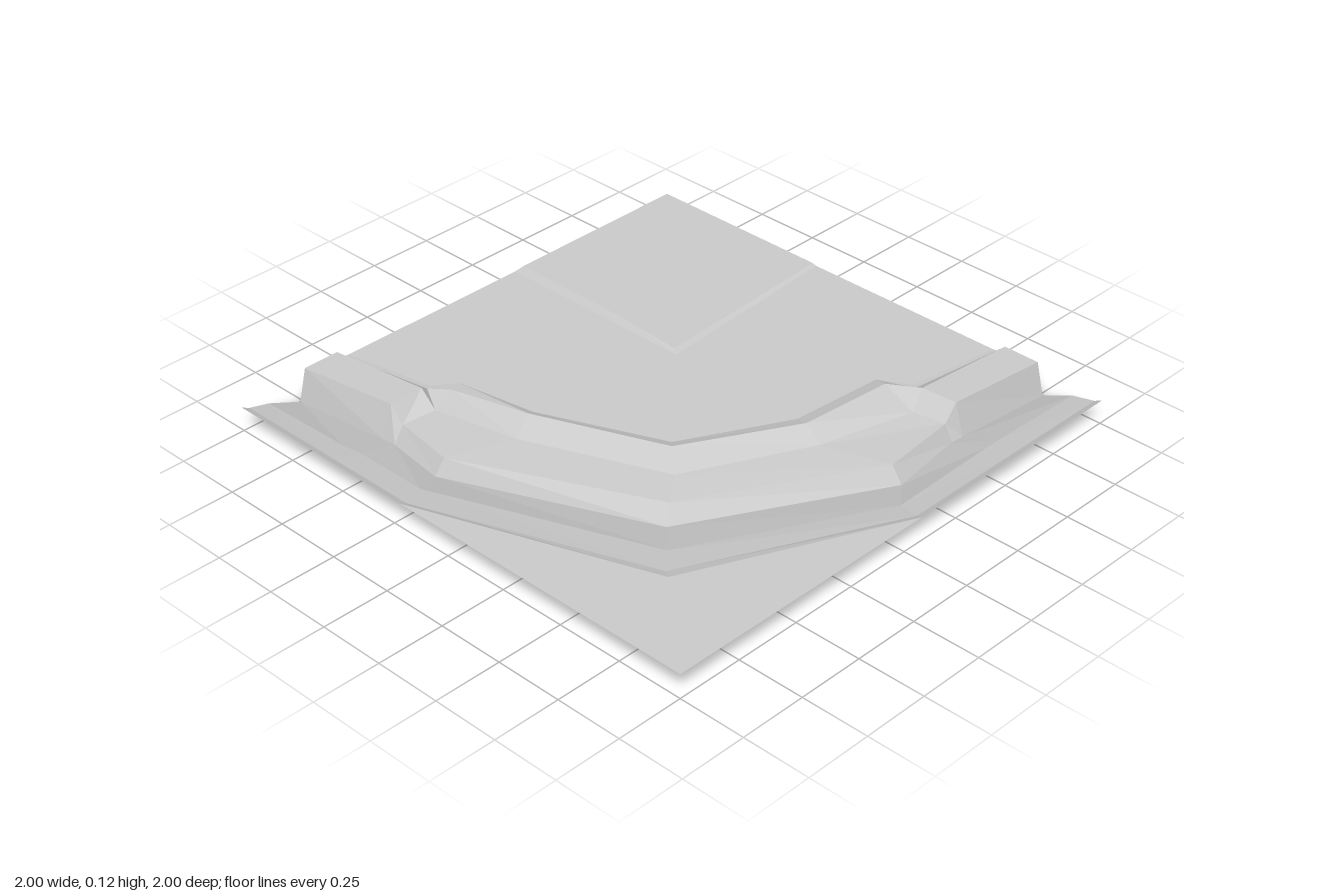
import * as THREE from 'three';

// Every line follows the bend through nine stations, left edge to back edge.
const STATIONS = 9;
const level = (y, pts) => pts.map(([x, z]) => new THREE.Vector3(x, y, z));
const line = (pts) => pts.map((p) => new THREE.Vector3(...p));
const point = (x, y, z) => Array.from({ length: STATIONS }, () => new THREE.Vector3(x, y, z));

// Flat-shaded surface lofted between neighbouring lines, outer to inner
function loft(name, lines) {
  const pos = [];
  const tri = (a, b, c) => {
    const area = b.clone().sub(a).cross(c.clone().sub(a)).length();
    if (area > 1e-6) for (const v of [a, b, c]) pos.push(v.x, v.y, v.z);
  };
  for (let r = 0; r < lines.length - 1; r++) {
    const [p, q] = [lines[r], lines[r + 1]];
    for (let s = 0; s < STATIONS - 1; s++) {
      tri(p[s], p[s + 1], q[s]);
      tri(p[s + 1], q[s + 1], q[s]);
    }
  }
  const geo = new THREE.BufferGeometry();
  geo.setAttribute('position', new THREE.Float32BufferAttribute(pos, 3));
  geo.computeVertexNormals();
  const mat = new THREE.MeshStandardMaterial({ color: 0xcccccc, flatShading: true, side: THREE.DoubleSide });
  const mesh = new THREE.Mesh(geo, mat);
  mesh.name = name;
  return mesh;
}

export function createModel() {
  const group = new THREE.Group();
  group.name = 'terrainTile';

  // Outer bank, from the flat corner down to the foot of the wall
  const rim = level(0.09, [[-1, 1], [-0.63, 1], [-0.56, 1], [-0.22, 1], [0.65, 0.69],
    [1, -0.08], [1, -0.57], [1, -0.62], [1, -1]]);
  const bankUpper = level(0.075, [[-1, 0.97], [-0.63, 0.97], [-0.56, 0.97], [-0.22, 0.97], [0.61, 0.66],
    [0.97, -0.09], [0.97, -0.57], [0.97, -0.62], [0.97, -1]]);
  const bankLower = level(0.055, [[-1, 0.89], [-0.63, 0.88], [-0.56, 0.87], [-0.27, 0.87], [0.52, 0.56],
    [0.88, -0.12], [0.87, -0.57], [0.87, -0.62], [0.88, -1]]);
  const foot = level(0, [[-1, 0.76], [-0.63, 0.715], [-0.58, 0.71], [-0.35, 0.74], [0.38, 0.42],
    [0.76, -0.27], [0.72, -0.57], [0.725, -0.62], [0.76, -1]]);

  // Wall with raised blocks at both ends and a low shelf around the bend
  const wallTop = line([[-1, 0.12, 0.73], [-0.63, 0.12, 0.675], [-0.58, 0.06, 0.67], [-0.34, 0.06, 0.705],
    [0.35, 0.06, 0.38], [0.72, 0.06, -0.27], [0.69, 0.06, -0.57], [0.69, 0.12, -0.62], [0.73, 0.12, -1]]);
  const shelfBack = line([[-1, 0.12, 0.59], [-0.63, 0.12, 0.54], [-0.555, 0.072, 0.55], [-0.24, 0.072, 0.48],
    [0.27, 0.072, 0.27], [0.49, 0.072, -0.18], [0.58, 0.072, -0.535], [0.555, 0.12, -0.61], [0.59, 0.12, -1]]);
  const crest = line([[-1, 0.09, 0.56], [-0.65, 0.09, 0.5], [-0.585, 0.092, 0.45], [-0.28, 0.11, 0.39],
    [0.19, 0.11, 0.2], [0.41, 0.11, -0.2], [0.44, 0.11, -0.555], [0.51, 0.09, -0.63], [0.565, 0.09, -1]]);
  const innerFoot = level(0.088, [[-1, 0.54], [-0.66, 0.48], [-0.6, 0.4], [-0.3, 0.35], [0.15, 0.16],
    [0.35, -0.22], [0.38, -0.58], [0.49, -0.64], [0.54, -1]]);

  // Inner ground with a shallow step around the back left quarter
  const stepLow = level(0.085, [[-1, -0.23], [-0.8, -0.23], [-0.65, -0.23], [-0.45, -0.23], [-0.21, -0.23],
    [-0.22, -0.4], [-0.235, -0.6], [-0.24, -0.7], [-0.262, -1]]);
  const stepHigh = level(0.09, [[-1, -0.27], [-0.8, -0.27], [-0.65, -0.27], [-0.45, -0.265], [-0.235, -0.25],
    [-0.245, -0.4], [-0.255, -0.6], [-0.26, -0.7], [-0.278, -1]]);

  group.add(loft('outerGround', [point(1, 0.09, 1), rim]));
  group.add(loft('outerBank', [rim, bankUpper, bankLower, foot]));
  group.add(loft('wallAndShelf', [foot, wallTop, shelfBack, crest, innerFoot]));
  group.add(loft('innerGround', [innerFoot, stepLow, stepHigh, point(-1, 0.09, -1)]));
  return group;
}
